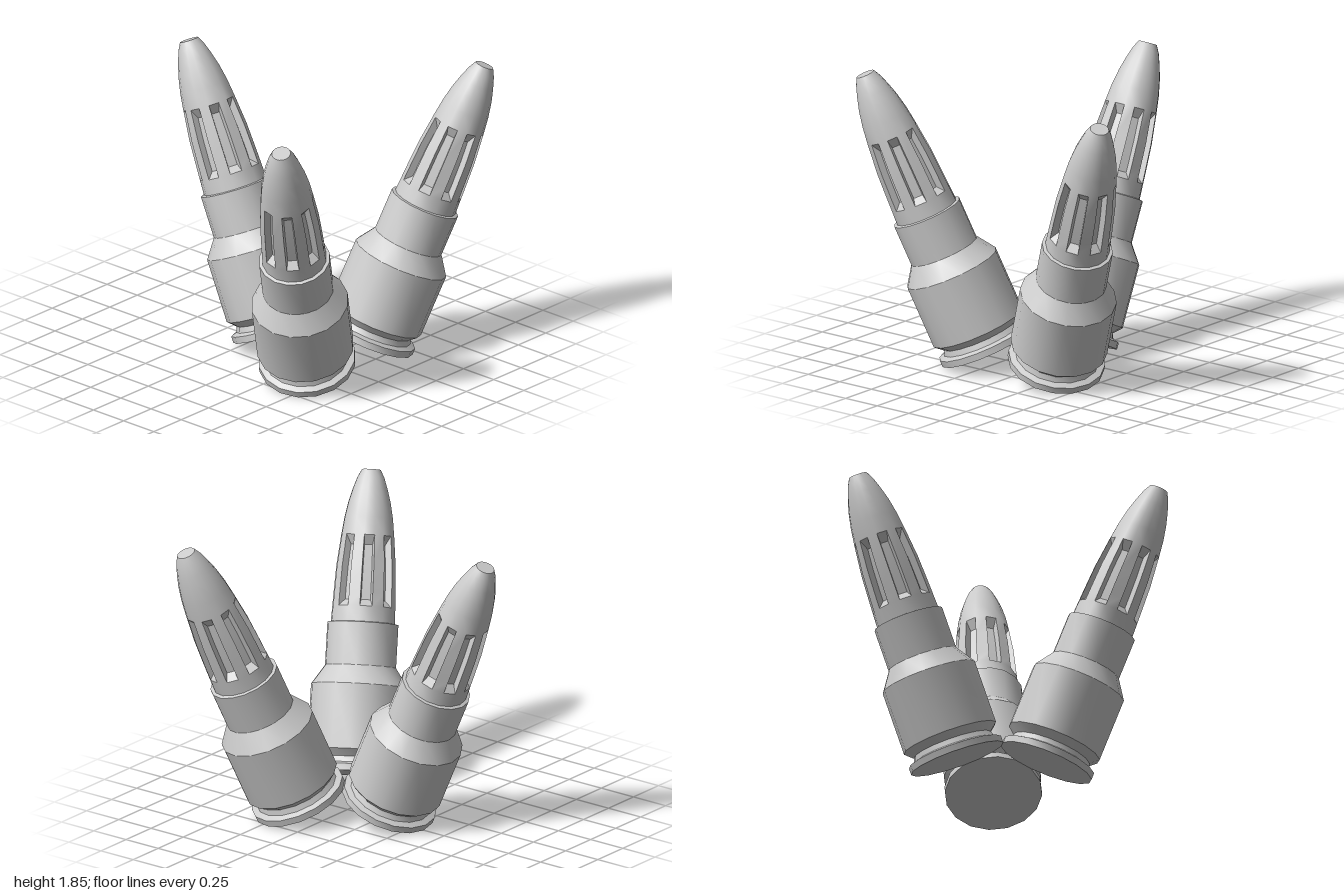
import * as THREE from 'three';
import { mergeGeometries, toCreasedNormals } from 'three/addons/utils/BufferGeometryUtils.js';

const SIDES = 16;
const STEP = (Math.PI * 2) / SIDES;
const CREASE = 0.5;
const TILT = THREE.MathUtils.degToRad(23.8);

// Turned part from [radius, height] pairs, positions only
function turned(profile) {
  const geo = new THREE.LatheGeometry(profile.map(([r, y]) => new THREE.Vector2(r, y)), SIDES).toNonIndexed();
  geo.deleteAttribute('uv');
  geo.deleteAttribute('normal');
  return geo;
}

// Band of the bullet in which every other face is sunk into a slot
function slottedBand() {
  const outer = [[0.195, 1.02], [0.192, 1.1], [0.184, 1.27], [0.164, 1.46]];
  const inner = [[0.147, 1.06], [0.145, 1.13], [0.138, 1.27], [0.125, 1.4]];
  const pos = [];
  const point = ([r, y], a) => [r * Math.cos(a), y, r * Math.sin(a)];
  const quad = (a, b, c, d) => pos.push(...a, ...b, ...c, ...a, ...c, ...d);

  for (let i = 0; i < SIDES; i++) {
    const a0 = i * STEP, a1 = a0 + STEP;
    const slot = i % 2 === 1;
    const face = slot ? inner : outer;
    for (let j = 0; j < 3; j++) {
      quad(point(face[j], a1), point(face[j], a0), point(face[j + 1], a0), point(face[j + 1], a1));
      if (!slot) continue;
      // side walls
      quad(point(inner[j], a0), point(outer[j], a0), point(outer[j + 1], a0), point(inner[j + 1], a0));
      quad(point(outer[j], a1), point(inner[j], a1), point(inner[j + 1], a1), point(outer[j + 1], a1));
    }
    if (slot) {
      // sloping ends
      quad(point(inner[0], a0), point(inner[0], a1), point(outer[0], a1), point(outer[0], a0));
      quad(point(outer[3], a0), point(outer[3], a1), point(inner[3], a1), point(inner[3], a0));
    }
  }
  const geo = new THREE.BufferGeometry();
  geo.setAttribute('position', new THREE.Float32BufferAttribute(pos, 3));
  return geo;
}

export function createModel() {
  const model = new THREE.Group();
  model.name = 'cartridges';
  const material = new THREE.MeshStandardMaterial({ color: 0xcccccc });

  // Casing: rim, groove, body, shoulder, neck
  const casingGeo = toCreasedNormals(turned([
    [0, 0], [0.3, 0], [0.3, 0.042], [0.262, 0.055], [0.25, 0.09], [0.3, 0.135],
    [0.3, 0.537], [0.22, 0.655], [0.22, 0.92], [0.195, 0.925],
  ]), CREASE);

  // Bullet: collar, slotted band, rounded nose with a flat tip
  const bulletGeo = toCreasedNormals(mergeGeometries([
    turned([[0.2, 0.9], [0.195, 1.02]]),
    slottedBand(),
    turned([[0.164, 1.46], [0.15, 1.57], [0.13, 1.67], [0.107, 1.75], [0.083, 1.82], [0.058, 1.868], [0, 1.868]]),
  ]), CREASE);

  // Three copies leaning outwards around a common centre
  for (let i = 0; i < 3; i++) {
    const casing = new THREE.Mesh(casingGeo, material);
    casing.name = 'casing';
    const bullet = new THREE.Mesh(bulletGeo, material);
    bullet.name = 'bullet';

    const cartridge = new THREE.Group();
    cartridge.name = 'cartridge';
    cartridge.add(casing, bullet);
    cartridge.position.set(-0.317, 0.123, 0);
    cartridge.rotation.z = TILT;

    const arm = new THREE.Group();
    arm.name = 'cartridgePlacement';
    arm.add(cartridge);
    arm.position.x = 0.25;
    arm.rotation.y = (i * Math.PI * 2) / 3;
    model.add(arm);
  }
  return model;
}
